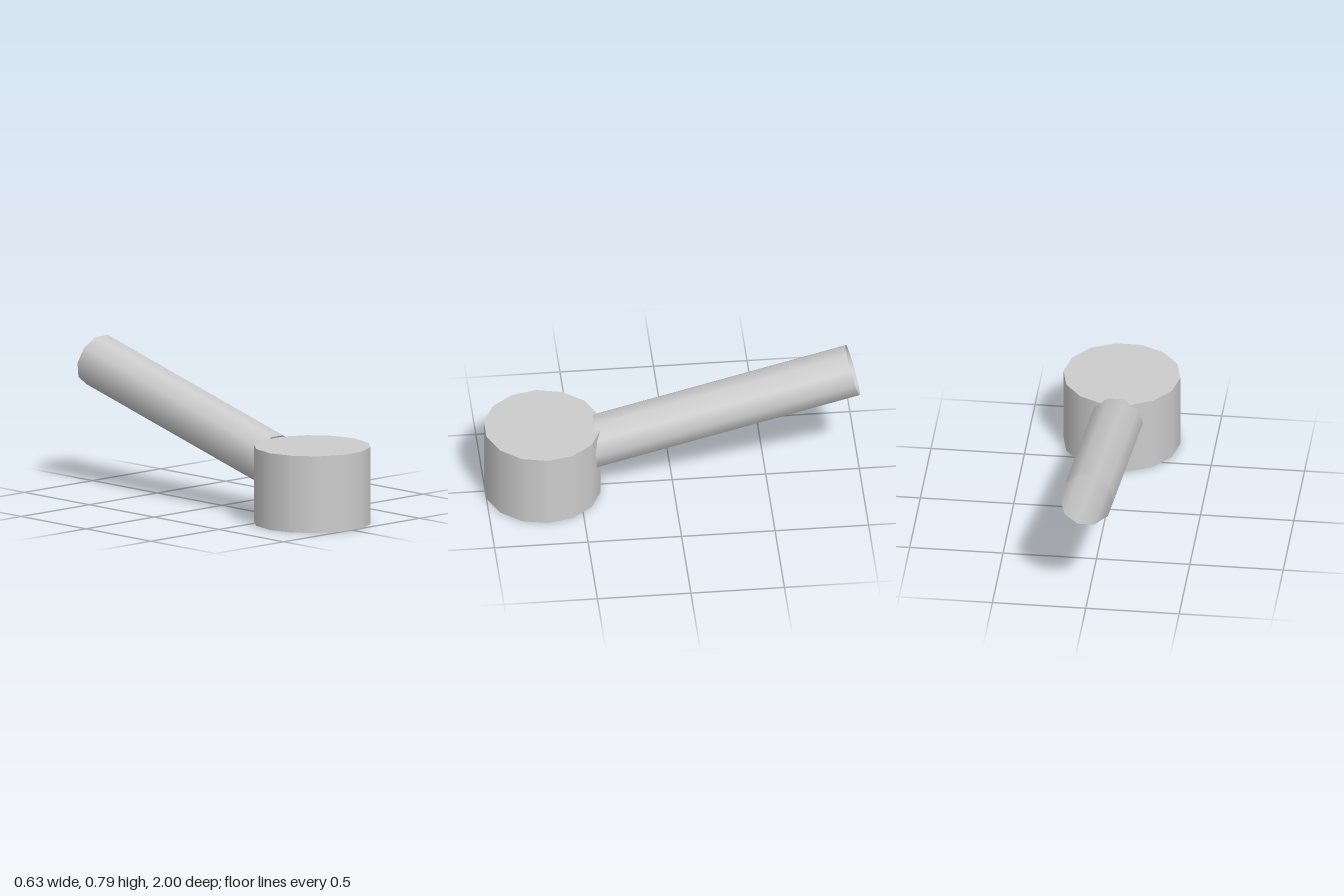
import * as THREE from 'three';

export function createModel() {
  const model = new THREE.Group();
  const metal = new THREE.MeshStandardMaterial({ color: 0xcccccc });
  metal.name = 'greyMetal';
  metal.side = THREE.DoubleSide;

  // Closed drum with fourteen sides, a corner pointing to each side
  const drumGeometry = new THREE.CylinderGeometry(0.313, 0.313, 0.415, 14, 1, false, Math.PI / 2);
  const drum = new THREE.Mesh(drumGeometry, metal);
  drum.name = 'drum';
  drum.position.set(0, 0.2075, 0.695);
  model.add(drum);

  // Open ten-sided tube, rising 15 degrees towards the back
  const tilt = THREE.MathUtils.degToRad(15);
  const length = 1.4;
  const tube = new THREE.CylinderGeometry(0.144, 0.144, length, 10, 1, true, Math.PI / 2);
  tube.translate(0, -length / 2, 0); // far end at the origin
  const p = tube.attributes.position;
  const nearEnd = [];
  for (let i = 0; i < p.count; i++) if (p.getY(i) < -length / 2) nearEnd.push(i);
  tube.rotateX(tilt - Math.PI / 2);
  tube.translate(0, 0.66, -0.965);

  // Near end cut upright, just inside the drum wall
  const cutZ = 0.423;
  for (const i of nearEnd) {
    const dz = cutZ - p.getZ(i);
    p.setY(i, p.getY(i) - dz * Math.tan(tilt));
    p.setZ(i, cutZ);
  }
  const handle = new THREE.Mesh(tube, metal);
  handle.name = 'tubeHandle';
  model.add(handle);

  return model;
}
